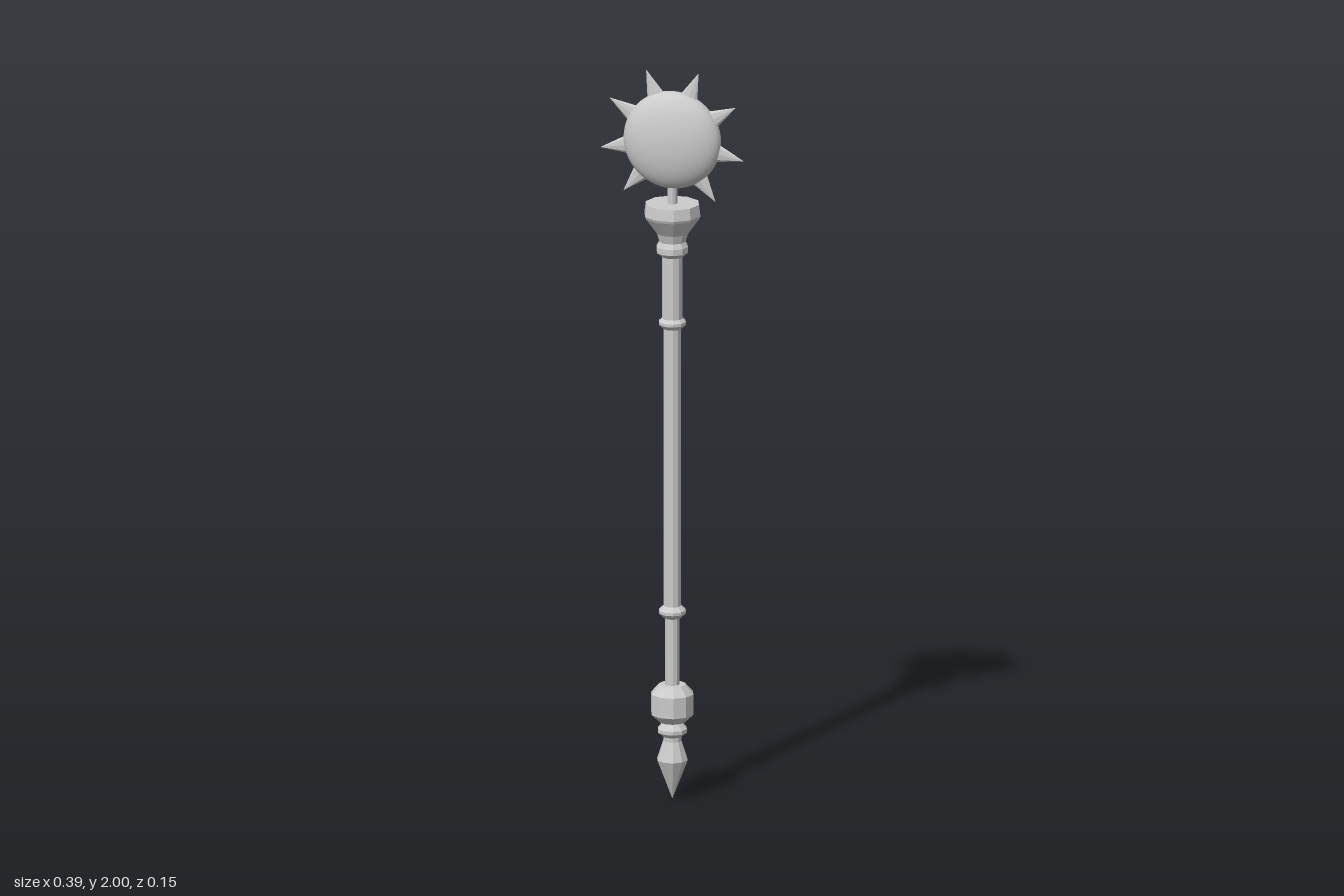
import * as THREE from 'three';

const SIDES = 10;
const BALL_Y = 1.81;

export function createModel() {
  const group = new THREE.Group();
  const faceted = new THREE.MeshStandardMaterial({ color: 0xcccccc, flatShading: true });
  const smooth = new THREE.MeshStandardMaterial({ color: 0xcccccc });

  const add = (name, geometry, material = faceted) => {
    const mesh = new THREE.Mesh(geometry, material);
    mesh.name = name;
    group.add(mesh);
    return mesh;
  };

  // Ten-sided turned part from [radius, height] pairs, bottom to top
  const turned = (name, profile) => add(name, new THREE.LatheGeometry(
    profile.map(([r, y]) => new THREE.Vector2(r, y)), SIDES, Math.PI / SIDES));

  // Pointed foot with its small ring
  turned('footSpike', [[0, 0], [0.042, 0.108], [0.025, 0.16], [0.025, 0.172],
    [0.04, 0.184], [0.04, 0.194], [0.024, 0.212], [0.024, 0.225]]);

  // Heavy bead at the lower end
  turned('pommel', [[0, 0.212], [0.034, 0.212], [0.058, 0.234], [0.058, 0.29], [0.036, 0.315], [0, 0.315]]);

  // Shaft, thickening in three steps
  turned('lowerShaft', [[0.02, 0.31], [0.02, 0.515]]);
  turned('middleShaft', [[0.024, 0.515], [0.024, 1.308]]);
  turned('upperShaft', [[0.028, 1.308], [0.028, 1.51]]);

  // Rings covering the steps
  for (const [name, y] of [['lowerRing', 0.515], ['upperRing', 1.308]]) {
    turned(name, [[0.022, y - 0.018], [0.037, y - 0.004], [0.037, y + 0.004], [0.022, y + 0.018]]);
  }

  // Flared collar below the head
  turned('collar', [[0.026, 1.488], [0.043, 1.502], [0.043, 1.518], [0.036, 1.532], [0.043, 1.555],
    [0.074, 1.598], [0.077, 1.605], [0.073, 1.636], [0, 1.636]]);

  // Thin neck carrying the head
  turned('neck', [[0.014, 1.63], [0.014, 1.72]]);

  // Flattened ball
  const ball = add('head', new THREE.SphereGeometry(0.133, 40, 28), smooth);
  ball.scale.z = 0.42;
  ball.position.y = BALL_Y;

  // Flat spikes around the rim, leaving a gap at the neck
  const spike = new THREE.ConeGeometry(0.033, 0.1, 8).translate(0, 0.151, 0).scale(1, 1, 0.33);
  for (const degrees of [-54, -13, 30, 69, 111, 149, 190, 228]) {
    const mesh = add('spike', spike);
    mesh.position.y = BALL_Y;
    mesh.rotation.z = THREE.MathUtils.degToRad(degrees - 90);
  }

  return group;
}
